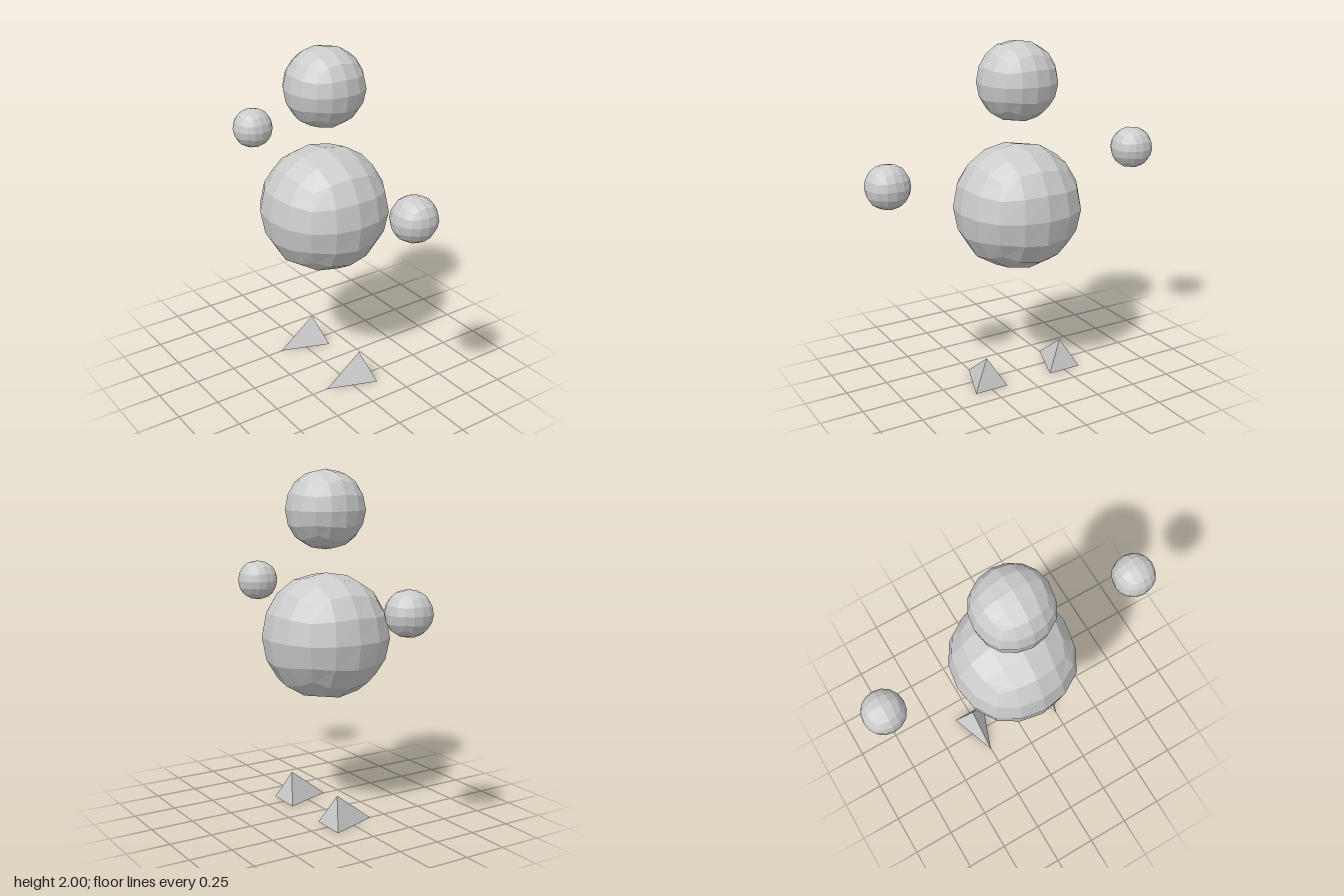
import * as THREE from 'three';

const grey = new THREE.MeshStandardMaterial({ color: 0xcccccc, flatShading: true });
grey.name = 'light grey';

// Twice-smoothed cube: each grid point of a box moves to its rounded place.
// Key: squared length of the box point; values: where 0.5 and 1 move to.
const ROUNDED = {
  1: [0, 1],
  1.25: [0.399, 0.933],
  1.5: [0.3715, 0.8695],
  2: [0, 0.732],
  2.25: [0.344, 0.682],
  3: [0, 0.58],
};

function roundedCube(radius) {
  const geometry = new THREE.BoxGeometry(2, 2, 2, 4, 4, 4);
  const pos = geometry.attributes.position;
  const p = new THREE.Vector3();
  for (let i = 0; i < pos.count; i++) {
    p.fromBufferAttribute(pos, i);
    const [half, full] = ROUNDED[p.lengthSq()];
    const move = (v) => Math.sign(v) * (Math.abs(v) === 1 ? full : v === 0 ? 0 : half) * radius;
    pos.setXYZ(i, move(p.x), move(p.y), move(p.z));
  }
  geometry.computeVertexNormals();
  return geometry;
}

// Four-sided foot: narrow tip toward -x, flat base, apex near the wide end
function footGeometry() {
  const tip = [-0.15, 0, 0], a = [0.14, 0, 0.104], b = [0.14, 0, -0.104], apex = [0.08, 0.177, 0];
  const faces = [tip, a, apex, a, b, apex, b, tip, apex, tip, b, a];
  const geometry = new THREE.BufferGeometry();
  geometry.setAttribute('position', new THREE.Float32BufferAttribute(faces.flat(), 3));
  geometry.computeVertexNormals();
  return geometry;
}

export function createModel() {
  const model = new THREE.Group();
  const add = (name, geometry, x, y, z) => {
    const mesh = new THREE.Mesh(geometry, grey);
    mesh.name = name;
    mesh.position.set(x, y, z);
    model.add(mesh);
  };

  // Floating body and head
  add('body', roundedCube(0.3625), -0.002, 1.056, 0);
  add('head', roundedCube(0.2245), 0, 1.7755, 0);

  // Floating hands and feet, front and back
  add('frontHand', roundedCube(0.123), 0.005, 1.288, 0.796);
  add('backHand', roundedCube(0.123), 0.005, 1.295, -0.796);
  for (const [side, s] of [['front', 1], ['back', -1]]) {
    add(side + 'Foot', footGeometry(), 0, 0, s * 0.252);
  }
  return model;
}
